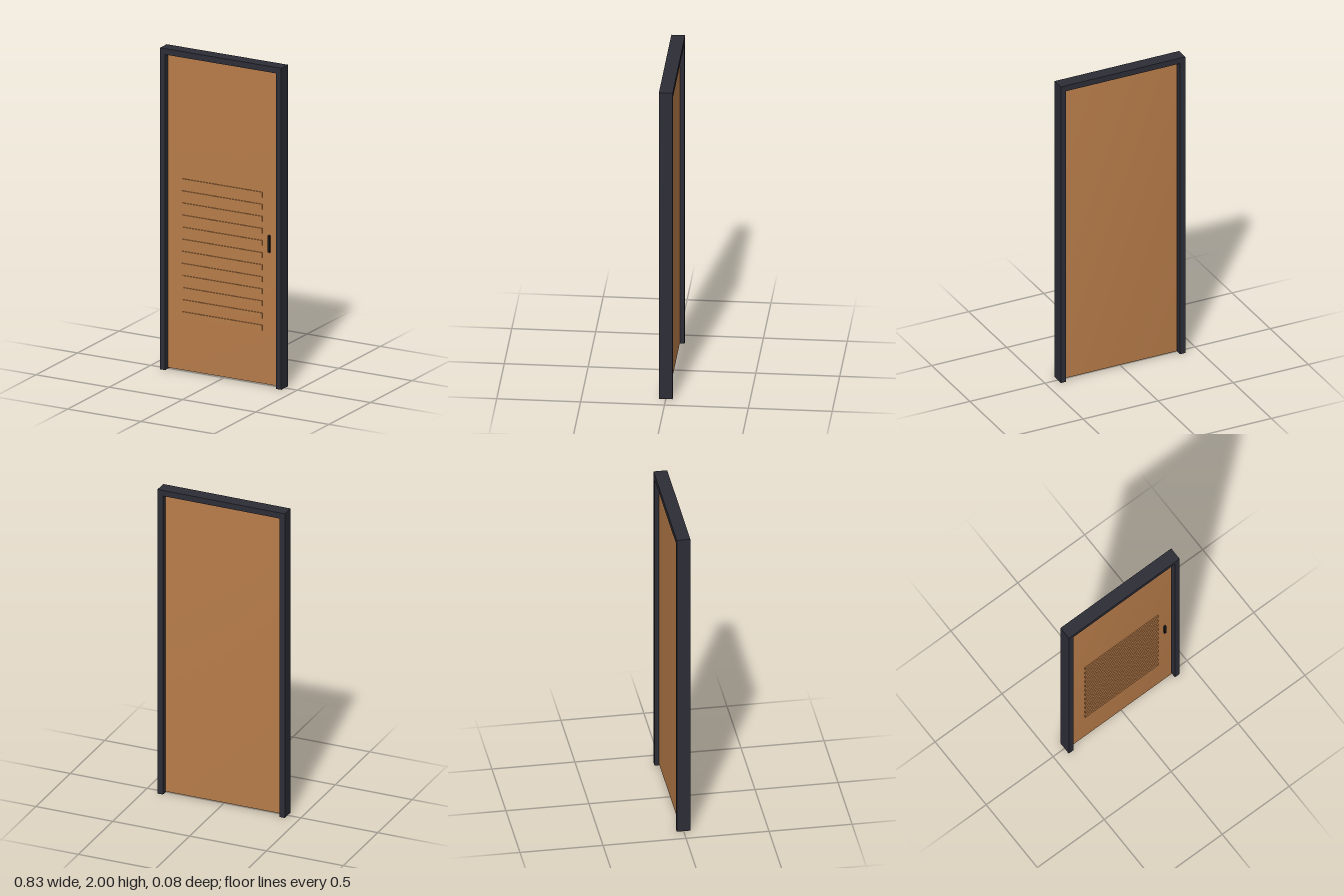
import * as THREE from 'three';
import { mergeVertices } from 'three/addons/utils/BufferGeometryUtils.js';

export function createModel() {
  const group = new THREE.Group();
  const mat = (name, color) => {
    const m = new THREE.MeshStandardMaterial({ color });
    m.name = name;
    return m;
  };
  const wood = mat('warm wood', 0xb97d4a);
  const dark = mat('dark frame', 0x2d2d37);
  const black = mat('black metal', 0x18181b);

  // Box given by its lower and upper corners
  const box = (name, material, [x0, y0, z0], [x1, y1, z1], parent = group) => {
    const mesh = new THREE.Mesh(new THREE.BoxGeometry(x1 - x0, y1 - y0, z1 - z0), material);
    mesh.position.set((x0 + x1) / 2, (y0 + y1) / 2, (z0 + z1) / 2);
    mesh.name = name;
    parent.add(mesh);
    return mesh;
  };

  const halfWidth = 0.414, inner = 0.379, depth = 0.041, head = 1.963;
  const doorFront = 0.014;

  // Frame: two jambs and the head between them
  const frame = new THREE.Group();
  frame.name = 'frame';
  group.add(frame);
  box('rightJamb', dark, [-halfWidth, 0, -depth], [-inner, 2, depth], frame);
  box('leftJamb', dark, [inner, 0, -depth], [halfWidth, 2, depth], frame);
  box('frameHead', dark, [-inner, head, -depth], [inner, 2, depth], frame);

  // Door leaf with softly blended normals across its corners
  const leaf = box('doorLeaf', wood, [-0.373, 0.01, -doorFront], [0.373, 1.957, doorFront]);
  leaf.geometry.deleteAttribute('normal');
  leaf.geometry.deleteAttribute('uv');
  leaf.geometry = mergeVertices(leaf.geometry);
  leaf.geometry.computeVertexNormals();

  // Raised vent slats on the front
  const slats = new THREE.Group();
  slats.name = 'ventSlats';
  group.add(slats);
  for (let i = 0; i < 12; i++) {
    const y = 0.358 + i * 0.0752;
    box('slat', wood, [-0.275, y - 0.016, doorFront - 0.004], [0.272, y + 0.016, doorFront + 0.006], slats);
  }

  // Upright pull handle
  box('handle', black, [0.313, 0.835, doorFront - 0.002], [0.327, 0.94, 0.028]);

  return group;
}
